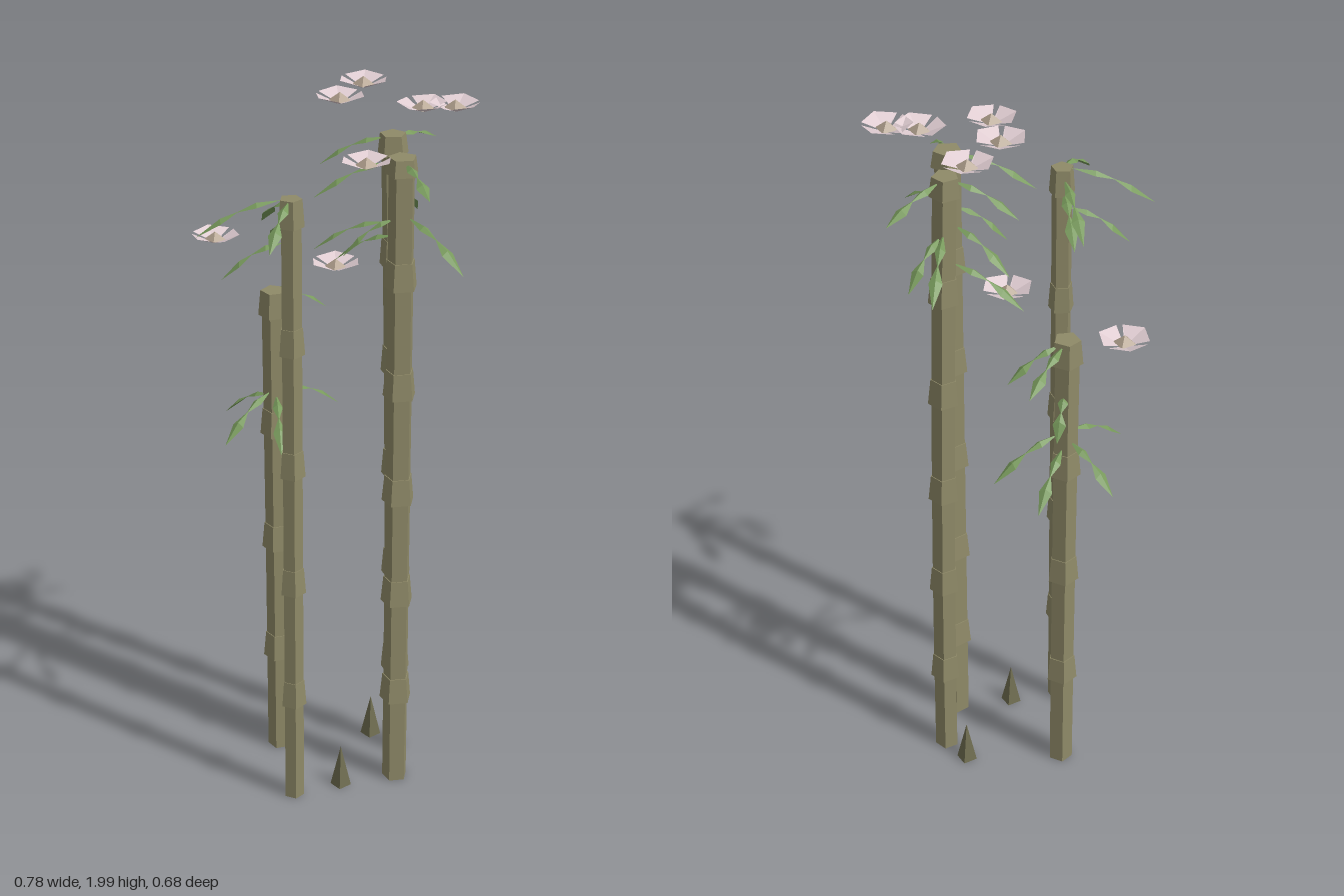
import * as THREE from 'three';

const mat = (color) => {
  const m = new THREE.MeshStandardMaterial({ color, flatShading: true, side: THREE.DoubleSide });
  return m;
};

// Flat-shaded mesh from a list of triangles, each a trio of Vector3
function facets(triangles, material, name) {
  const geo = new THREE.BufferGeometry().setFromPoints(triangles.flat());
  geo.computeVertexNormals();
  const mesh = new THREE.Mesh(geo, material);
  mesh.name = name;
  return mesh;
}

const V = (x, y, z) => new THREE.Vector3(x, y, z);

export function createModel() {
  const model = new THREE.Group();
  model.name = 'bambooClump';
  const caneMat = mat(0x8f8a68);
  const shootMat = mat(0x6f6d50);
  const leafMat = mat(0x789a5c);
  const petalMat = mat(0xe0cdd2);
  const heartMat = mat(0xb5a491);

  // Cane: five-sided pole with a flared collar at every joint
  function cane({ base, top, height, r, turn, first, step, leaves }) {
    const group = new THREE.Group();
    group.name = 'cane';
    const at = (y) => V(
      base[0] + (top[0] - base[0]) * (y / height) ** 2, y,
      base[1] + (top[1] - base[1]) * (y / height) ** 2);
    const section = (y0, y1, r0, r1, name) => {
      const geo = new THREE.CylinderGeometry(r1, r0, y1 - y0, 5, 1, false, turn);
      // slide the ends so that the sections follow the lean
      const a = at(y0), b = at(y1), p = geo.attributes.position;
      for (let i = 0; i < p.count; i++) {
        const c = p.getY(i) > 0 ? b : a;
        p.setXYZ(i, p.getX(i) + c.x, p.getY(i) + (y0 + y1) / 2, p.getZ(i) + c.z);
      }
      const mesh = new THREE.Mesh(geo, caneMat);
      mesh.name = name;
      group.add(mesh);
    };
    let y = 0;
    for (let joint = first; joint < height - 0.03; joint += step) {
      section(y, joint, r, r, 'caneSection');
      const end = Math.min(joint + 0.075, height);
      section(joint, end, r * 1.28, r * 1.08, 'jointCollar');
      y = end;
    }
    if (height - y > 0.01) section(y, height, r, r, 'caneTip');
    for (const [x, ty, z] of leaves) group.add(leaf(at(Math.min(ty + 0.1, height - 0.01)), V(x, ty, z)));
    model.add(group);
  }

  // Leaf: two folded kites in a row, drooping towards the tip
  function leaf(root, tip) {
    const out = V(tip.x - root.x, 0, tip.z - root.z);
    const side = V(-out.z, 0, out.x).normalize();
    const drop = root.y - tip.y;
    const point = (t, w = 0, lift = 0) => root.clone().addScaledVector(out, t)
      .addScaledVector(side, w).add(V(0, lift - drop * t * t, 0));
    const triangles = [];
    for (const [a, m, b, w] of [[0.1, 0.36, 0.58, 0.014], [0.54, 0.74, 1, 0.018]]) {
      for (const s of [-1, 1]) {
        const edge = point(m, s * w, -0.004), ridge = point(m, 0, 0.006);
        const tris = [[point(a), edge, ridge], [ridge, edge, point(b)]];
        triangles.push(...tris.map((t) => (s > 0 ? t : [t[0], t[2], t[1]])));
      }
    }
    // wind every triangle so that its front faces upwards
    for (const t of triangles) {
      const n = t[1].clone().sub(t[0]).cross(t[2].clone().sub(t[0]));
      if (n.y < 0) t.reverse();
    }
    return facets(triangles, leafMat, 'leaf');
  }

  // Blossom: three broad cupped petals around a four-sided heart
  function blossom(x, y, z, turn) {
    const group = new THREE.Group();
    group.name = 'blossom';
    const polar = (angle, r, h) => V(Math.cos(angle) * r, h, Math.sin(angle) * r);
    for (let i = 0; i < 3; i++) {
      const a = turn + (i * Math.PI * 2) / 3;
      const centre = V(0, -0.018, 0), tip = polar(a, 0.068, 0.01);
      const left = polar(a - 0.92, 0.064, 0.006), right = polar(a + 0.92, 0.064, 0.006);
      const inner = polar(a, 0.008, -0.016);
      group.add(facets([[inner, tip, left], [inner, right, tip],
        [centre, inner, left], [centre, right, inner]], petalMat, 'petal'));
    }
    const heart = new THREE.Mesh(new THREE.ConeGeometry(0.03, 0.022, 4), heartMat);
    heart.name = 'blossomHeart';
    heart.position.y = 0.003;
    group.add(heart);
    group.position.set(x, y, z);
    model.add(group);
  }

  // Four canes; each leaf is given by its tip
  const LEFT = -Math.PI / 2;
  cane({ base: [-0.145, -0.097], top: [-0.15, -0.097], height: 1.43, r: 0.034, turn: LEFT + 0.1,
    first: 0.3, step: 0.353, leaves: [
      [-0.30, 1.02, -0.19], [-0.265, 1.04, 0.07], [-0.125, 1.0, -0.295], [0.01, 1.04, -0.24],
      [-0.10, 1.36, -0.295], [-0.02, 1.34, -0.21], [-0.11, 1.03, 0.09], [-0.15, 1.17, -0.2]] });
  cane({ base: [-0.073, 0.162], top: [-0.073, 0.157], height: 1.795, r: 0.028, turn: -LEFT,
    first: 0.3, step: 0.353, leaves: [
      [-0.31, 1.69, 0.205], [-0.25, 1.57, 0.19], [-0.105, 1.7, 0.335], [-0.17, 1.66, -0.01],
      [-0.14, 1.62, 0.02]] });
  cane({ base: [0.187, -0.125], top: [0.163, -0.115], height: 1.875, r: 0.033, turn: LEFT - 0.2,
    first: 0.26, step: 0.312, leaves: [
      [0.137, 1.62, -0.34], [0.265, 1.81, -0.295], [0.22, 1.61, -0.27], [-0.05, 1.53, -0.15],
      [-0.03, 1.78, -0.125]] });
  cane({ base: [0.202, 0.037], top: [0.2, 0.037], height: 1.865, r: 0.036, turn: LEFT - 0.05,
    first: 0.26, step: 0.312, leaves: [
      [0.37, 1.61, 0.2], [0.28, 1.8, 0.18], [-0.025, 1.76, 0.075], [0.02, 1.55, -0.03],
      [0.05, 1.6, 0.07]] });

  // Young shoots at the ground
  for (const [x, z] of [[0.053, 0.1], [0.113, -0.177]]) {
    const shoot = new THREE.Mesh(new THREE.ConeGeometry(0.029, 0.125, 4), shootMat);
    shoot.name = 'youngShoot';
    shoot.position.set(x, 0.0625, z);
    model.add(shoot);
  }

  // Floating blossoms
  for (const b of [
    [-0.325, 1.53, -0.217, -2.0], [0.02, 1.53, -0.055, 0.4], [0.075, 1.978, -0.225, -1.6],
    [0.027, 1.978, -0.085, 0.3], [0.243, 1.972, -0.062, 0.9], [0.325, 1.972, -0.073, -1.3],
    [0.12, 1.895, 0.172, -1.6]]) blossom(...b);

  return model;
}
